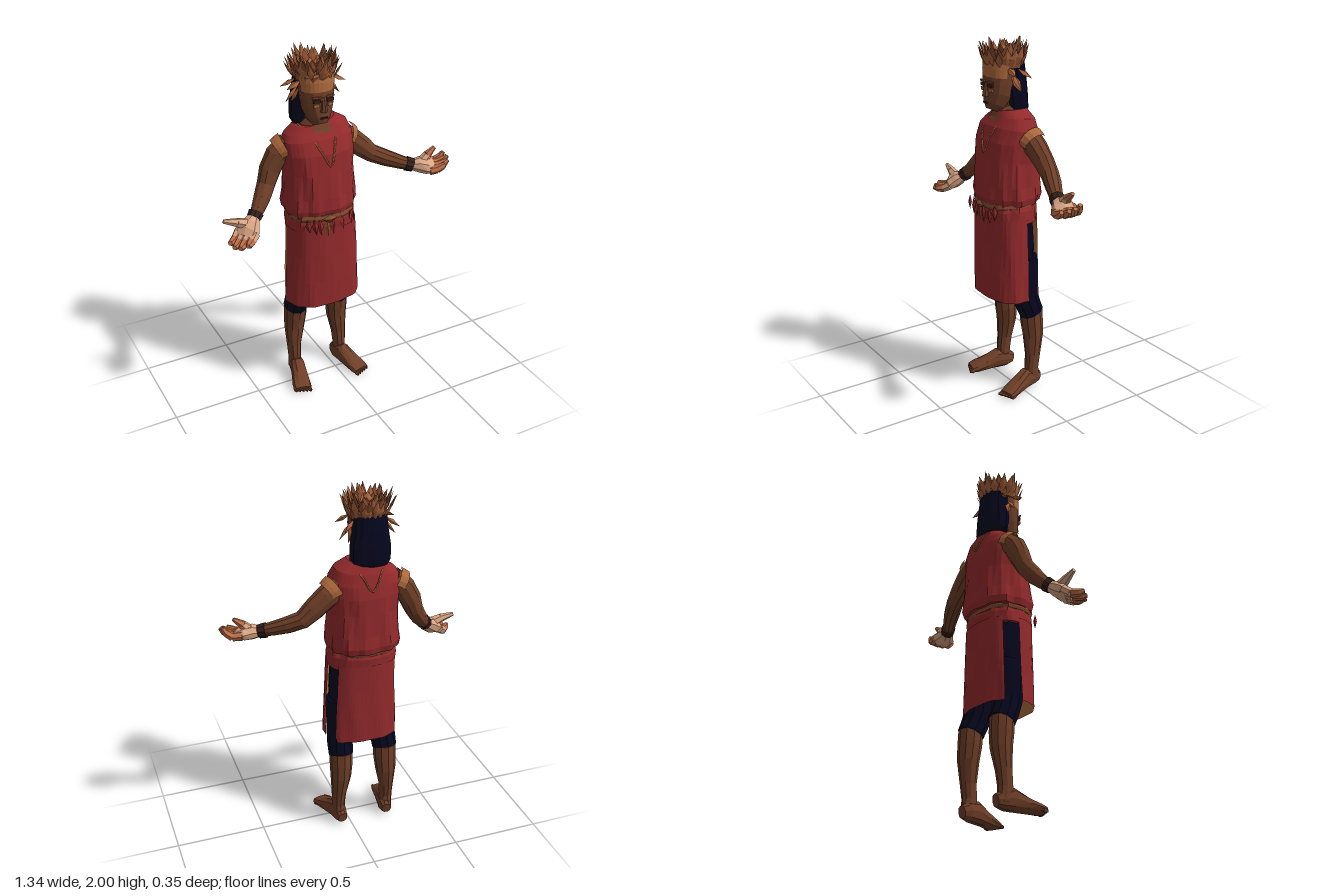
import * as THREE from 'three';

const mat = (name, color, side = THREE.FrontSide) => {
  const m = new THREE.MeshStandardMaterial({ color, side });
  m.name = name;
  return m;
};
const V = (x, y, z) => new THREE.Vector3(x, y, z);
const X = V(1, 0, 0), Z = V(0, 0, 1), TAU = Math.PI * 2;

let seed = 7;
const rand = () => ((seed = (seed * 16807) % 2147483647) / 2147483647);

// Faceted skin through sections [x, y, z, ra, rb]; ra lies along ref, rb across it.
function loft(rings, { sides = 10, ref = Z, pow = 2, from = 0, to = TAU, fold = 0, folds = 11 } = {}) {
  const closed = to - from > TAU - 0.01;
  const centres = rings.map((r) => V(r[0], r[1], r[2]));
  const pos = [], idx = [], n = sides + 1;
  const curve = (v) => Math.sign(v) * Math.abs(v) ** (2 / pow);
  rings.forEach(([, y, , ra, rb, amp = fold], i) => {
    const t = centres[Math.min(i + 1, rings.length - 1)].clone().sub(centres[Math.max(i - 1, 0)]).normalize();
    const a = ref.clone().addScaledVector(t, -ref.dot(t)).normalize();
    const b = t.clone().cross(a);
    for (let j = 0; j < n; j++) {
      const th = from + ((to - from) * j) / sides;
      const k = 1 + amp * (Math.cos(folds * th + y * 9) + 0.6 * Math.sin(5 * th + y * 17));
      const p = centres[i].clone().addScaledVector(a, ra * k * curve(Math.cos(th))).addScaledVector(b, rb * k * curve(Math.sin(th)));
      pos.push(p.x, p.y, p.z);
    }
  });
  for (let i = 0; i < rings.length - 1; i++)
    for (let j = 0; j < sides; j++) {
      const p = i * n + j, q = p + n;
      idx.push(p, p + 1, q + 1, p, q + 1, q);
    }
  if (closed)
    [0, rings.length - 1].forEach((i) => {
      const c = pos.length / 3;
      pos.push(...centres[i].toArray());
      for (let j = 0; j < sides; j++) {
        const p = i * n + j;
        idx.push(c, i ? p : p + 1, i ? p + 1 : p);
      }
    });
  const g = new THREE.BufferGeometry();
  g.setAttribute('position', new THREE.Float32BufferAttribute(pos, 3));
  g.setIndex(idx);
  const flat = g.toNonIndexed();
  flat.computeVertexNormals();
  return flat;
}

export function createModel() {
  const root = new THREE.Group();
  const skin = mat('brown skin', 0x6f3f28), tan = mat('tan', 0xae693c), pale = mat('pale skin', 0xdba685), palmTan = mat('warm finger', 0xbf6f48);
  const red = mat('red cloth', 0x942a2c), lining = mat('cloth lining', 0xa9683c, THREE.BackSide);
  const navy = mat('navy', 0x06061f), dark = mat('dark leather', 0x33201c);
  const feather = mat('copper feather', 0xab623c), shade = mat('brown feather', 0x844c2f);
  const add = (name, geo, m, parent = root) => {
    const mesh = new THREE.Mesh(geo, m);
    mesh.name = name;
    parent.add(mesh);
    return mesh;
  };
  const blade = (name, a, b, w, m, thick = 0.3) => {
    const d = b.clone().sub(a), mesh = add(name, new THREE.OctahedronGeometry(1), m);
    mesh.position.copy(a).addScaledVector(d, 0.5);
    const up = d.clone().normalize();
    const out = V(mesh.position.x + 0.115, 0, mesh.position.z + 0.01);
    out.addScaledVector(up, -out.dot(up)).normalize();
    mesh.quaternion.setFromRotationMatrix(new THREE.Matrix4().makeBasis(up.clone().cross(out), up, out));
    mesh.scale.set(w, d.length() / 2, w * thick);
  };

  // Tunic with folds deepening towards the bloused hem
  add('tunic', loft([
    [-0.1, 1.118, -0.01, 0.153, 0.19, 0.035], [-0.1, 1.155, -0.01, 0.163, 0.2, 0.032], [-0.1, 1.22, -0.01, 0.158, 0.195, 0.026],
    [-0.1, 1.35, -0.013, 0.15, 0.188, 0.022], [-0.1, 1.45, -0.018, 0.144, 0.195, 0.012], [-0.1, 1.52, -0.028, 0.124, 0.196, 0.006],
    [-0.103, 1.57, -0.035, 0.1, 0.172, 0.003], [-0.11, 1.61, -0.035, 0.08, 0.11, 0],
  ], { sides: 40, pow: 2.4 }), red);
  add('neckOpening', loft([[-0.106, 1.562, -0.034, 0.111, 0.17], [-0.106, 1.58, -0.035, 0.101, 0.165], [-0.112, 1.613, -0.035, 0.083, 0.112]],
    { sides: 6, pow: 2.4, from: -0.24, to: 0.24 }), skin);

  // Skirt: closed hips, then front and back panels leaving side slits
  const panel = [[-0.092, 0.565, 0, 0.145, 0.211, 0.016], [-0.093, 0.72, 0, 0.147, 0.206, 0.014], [-0.094, 0.88, 0, 0.147, 0.2, 0.01], [-0.095, 1.04, 0, 0.147, 0.194, 0.004]];
  add('skirtHips', loft([[-0.095, 1.015, 0, 0.139, 0.19, 0], [-0.095, 1.08, 0, 0.145, 0.187, 0.025], [-0.1, 1.135, 0, 0.13, 0.175, 0.035]], { sides: 40, pow: 2.5 }), red);
  [['frontPanel', -1.63, 1.63], ['backPanel', 2.22, TAU - 2.22]].forEach(([name, from, to]) => {
    const g = loft(panel, { sides: 22, pow: 2.5, from, to });
    add(name, g, red);
    add(name + 'Lining', g, lining);
  });

  // Belt with knot and hanging cords
  add('belt', loft([[-0.1, 1.095, 0.002, 0.145, 0.181], [-0.1, 1.11, 0.002, 0.15, 0.186], [-0.1, 1.128, 0.002, 0.147, 0.182]], { sides: 28, pow: 2.4, fold: 0.02 }), shade);
  blade('beltKnot', V(-0.16, 1.112, 0.155), V(-0.07, 1.107, 0.155), 0.024, shade, 0.7);
  [[-0.24, 0.08, red], [-0.2, 0.1, red], [-0.17, 0.11, red], [-0.13, 0.13, shade], [-0.1, 0.12, red], [-0.04, 0.11, red], [0.01, 0.08, red]].forEach(([x, len, m]) =>
    blade('beltCord', V(x, 1.125, 0.14), V(x + 0.012, 1.125 - len, 0.148), 0.017, m, 0.6));

  // Necklace lying on the cloth
  const beads = new THREE.CatmullRomCurve3([[-0.2, 1.595, -0.04], [-0.175, 1.55, 0.068], [-0.135, 1.47, 0.121], [-0.095, 1.4, 0.138], [-0.07, 1.47, 0.121],
    [-0.045, 1.55, 0.078], [-0.015, 1.6, -0.04], [-0.05, 1.56, -0.141], [-0.1, 1.48, -0.162], [-0.15, 1.56, -0.141]].map((p) => V(...p)), true);
  add('necklace', new THREE.TubeGeometry(beads, 48, 0.005, 5, true), tan);

  // Legs, feet and leggings, mirrored about the body line
  add('leggingHips', loft([[-0.09, 0.66, -0.015, 0.1, 0.175], [-0.092, 0.85, -0.01, 0.115, 0.184], [-0.095, 1.1, 0, 0.115, 0.17]], { sides: 16, pow: 2.4 }), navy);
  [1, -1].forEach((s) => {
    const leg = new THREE.Group();
    leg.name = s > 0 ? 'leftLeg' : 'rightLeg';
    leg.position.x = -0.085;
    leg.scale.x = s;
    root.add(leg);
    add('legging', loft([[0.132, 0.465, -0.078, 0.071, 0.069], [0.13, 0.52, -0.055, 0.073, 0.072], [0.12, 0.58, -0.035, 0.08, 0.078], [0.11, 0.8, -0.02, 0.1, 0.085]]), navy, leg);
    add('shin', loft([[0.146, 0.04, -0.075, 0.046, 0.036], [0.147, 0.12, -0.072, 0.041, 0.037], [0.146, 0.2, -0.08, 0.044, 0.042],
      [0.137, 0.32, -0.088, 0.058, 0.059], [0.133, 0.4, -0.082, 0.064, 0.065], [0.132, 0.48, -0.076, 0.066, 0.065]]), skin, leg);
    add('foot', loft([[0.137, 0.045, -0.124, 0.028, 0.033], [0.14, 0.053, -0.085, 0.04, 0.052], [0.15, 0.06, -0.03, 0.042, 0.06],
      [0.168, 0.04, 0.04, 0.048, 0.04], [0.186, 0.026, 0.1, 0.054, 0.026], [0.192, 0.02, 0.13, 0.05, 0.018]], { ref: X, pow: 2.4 }), skin, leg);
    for (let i = 0; i < 5; i++) {
      const toe = add('toe', new THREE.IcosahedronGeometry(1), skin, leg);
      toe.position.set(0.156 + i * 0.019, 0.015, 0.141 - i * 0.008);
      toe.scale.set(i ? 0.01 : 0.014, 0.013, 0.023);
    }
    // Tan edge over the shoulder
    const cap = add('shoulderEdge', loft([[0.17, 1.482, -0.045, 0.08, 0.073], [0.192, 1.471, -0.05, 0.074, 0.071], [0.211, 1.459, -0.053, 0.067, 0.067]],
      { from: -Math.PI - 0.2, to: 0.2, sides: 8 }), tan);
    cap.position.x = -0.1;
    cap.scale.x = s;
  });

  // Arms, wristbands and cupped hands
  const arm = (side, path, f, s, bend, thumbTip, backMat) => {
    const widths = [[0.07, 0.07], [0.06, 0.064], [0.052, 0.06], [0.048, 0.05], [0.046, 0.046], [0.037, 0.038], [0.029, 0.03]];
    add(side + 'Arm', loft(path.map((p, i) => [...p, ...widths[i]])), skin);
    const wrist = V(...path[6]);
    f.normalize();
    s.addScaledVector(f, -s.dot(f)).normalize();
    const along = (d, lift, r) => [...wrist.clone().addScaledVector(f, d).addScaledVector(bend, lift).toArray(), ...r];
    const prev = V(...path[5]).lerp(wrist, 0.4);
    add(side + 'Wristband', loft([[...prev.toArray(), 0.042, 0.042], [...wrist.toArray(), 0.038, 0.038]], { sides: 9 }), dark);
    add(side + 'Palm', loft([along(-0.01, 0, [0.03, 0.029]), along(0.03, 0, [0.048, 0.042]), along(0.075, -0.006, [0.066, 0.042]), along(0.115, -0.012, [0.06, 0.026])], { ref: s, sides: 8 }), pale);
    for (let i = 0; i < 4; i++) {
      const base = wrist.clone().addScaledVector(f, 0.085).addScaledVector(s, (i - 1.5) * 0.031);
      const len = [0.1, 0.115, 0.11, 0.085][i];
      const ring = (k, lift, r) => [...base.clone().addScaledVector(f, len * k).addScaledVector(bend, lift).toArray(), r, r];
      const knuckle = ring(0.5, -0.016 + i * 0.003, 0.024);
      add(side + 'Knuckle', loft([ring(0, -0.012, 0.026), knuckle], { ref: s, sides: 6 }), backMat);
      add(side + 'Finger', loft([knuckle, ring(0.85, 0.008, 0.02), ring(1, 0.034 - i * 0.005, 0.012)], { ref: s, sides: 6 }), palmTan);
    }
    const start = wrist.clone().addScaledVector(f, 0.04);
    const mid = start.clone().lerp(thumbTip, 0.5).addScaledVector(bend, 0.006);
    const joint = [...mid.toArray(), 0.024, 0.024];
    add(side + 'ThumbBase', loft([[...start.toArray(), 0.034, 0.034], joint], { ref: s, sides: 6 }), pale);
    add(side + 'Thumb', loft([joint, [...thumbTip.toArray(), 0.011, 0.011]], { ref: s, sides: 6 }), backMat);
  };
  arm('left', [[0.05, 1.485, -0.045], [0.12, 1.44, -0.055], [0.19, 1.38, -0.055], [0.25, 1.328, -0.05], [0.32, 1.297, -0.02], [0.4, 1.268, 0.02], [0.46, 1.25, 0.05]],
    V(0.95, 0, 0.28), V(-0.28, -0.2, 0.95), V(0, 1, 0), V(0.59, 1.335, 0.06), palmTan);
  arm('right', [[-0.25, 1.485, -0.045], [-0.315, 1.437, -0.055], [-0.355, 1.365, -0.055], [-0.385, 1.29, -0.045], [-0.425, 1.228, -0.015], [-0.46, 1.185, 0.01], [-0.495, 1.152, 0.033]],
    V(-0.56, -0.42, 0.42), V(0.5, -0.1, 0.7), V(-0.3, 0.7, 0.5), V(-0.665, 1.178, 0.04), pale);

  // Head, neck and hair
  add('neck', loft([[-0.11, 1.56, -0.03, 0.085, 0.09], [-0.113, 1.615, -0.028, 0.077, 0.085], [-0.118, 1.64, -0.015, 0.055, 0.06], [-0.12, 1.72, 0, 0.055, 0.058]]), skin);
  add('head', loft([[-0.12, 1.615, 0.065, 0.035, 0.035], [-0.12, 1.645, 0.052, 0.058, 0.058], [-0.12, 1.7, 0.03, 0.077, 0.08],
    [-0.12, 1.75, 0.02, 0.085, 0.087], [-0.12, 1.8, 0.015, 0.088, 0.09], [-0.12, 1.87, 0.01, 0.092, 0.092]], { sides: 12, pow: 2.3 }), skin);
  add('hair', loft([[-0.12, 1.59, -0.07, 0.05, 0.09], [-0.12, 1.62, -0.065, 0.064, 0.11], [-0.12, 1.7, -0.058, 0.071, 0.108],
    [-0.12, 1.78, -0.054, 0.072, 0.093], [-0.12, 1.855, -0.04, 0.075, 0.09]], { sides: 22, pow: 2.3, fold: 0.025 }), navy);

  // Face
  add('nose', loft([[-0.12, 1.695, 0.108, 0.018, 0.021], [-0.12, 1.715, 0.108, 0.017, 0.016], [-0.12, 1.77, 0.1, 0.008, 0.01]], { sides: 6 }), skin);
  const plate = (name, x, y, z, w, h, m, turn = 0) => {
    const p = add(name, new THREE.BoxGeometry(w, h, 0.008), m);
    p.position.set(x, y, z);
    p.rotation.y = turn;
  };
  [1, -1].forEach((s) => {
    plate('eye', -0.12 + s * 0.037, 1.754, 0.101, 0.04, 0.016, dark, s * 0.15);
    plate('brow', -0.12 + s * 0.038, 1.773, 0.101, 0.046, 0.009, shade, s * 0.15);
    plate('cheek', -0.12 + s * 0.038, 1.73, 0.101, 0.03, 0.016, tan, s * 0.15);
  });
  plate('mouth', -0.12, 1.662, 0.108, 0.04, 0.008, dark);

  // Feather headdress: band, rows of feathers closing on a dark centre, side plumes
  add('headband', loft([[-0.12, 1.79, 0.012, 0.093, 0.093], [-0.12, 1.83, 0.008, 0.097, 0.096], [-0.118, 1.86, 0, 0.1, 0.099]], { sides: 12, pow: 2.2, from: -1.4, to: 1.4 }), tan);
  add('crownBase', loft([[-0.118, 1.845, -0.008, 0.1, 0.1], [-0.118, 1.885, -0.01, 0.106, 0.106]], { sides: 14 }), shade);
  add('crownCentre', loft([[-0.118, 1.88, -0.01, 0.09, 0.09], [-0.118, 1.892, -0.01, 0.05, 0.05]], { sides: 10 }), dark);
  [[20, 0.098, 0.142, 1.84, 1.95, feather], [18, 0.088, 0.125, 1.855, 1.975, shade], [15, 0.065, 0.1, 1.865, 1.972, feather],
    [12, 0.04, 0.082, 1.88, 1.955, shade], [9, 0.02, 0.062, 1.885, 1.935, feather]].forEach(([count, r0, r1, y0, y1, m]) => {
    for (let i = 0; i < count; i++) {
      const a = ((i + rand() * 0.6) / count) * TAU, b = a + (rand() - 0.5) * 0.3, r = r1 + (rand() - 0.5) * 0.036;
      blade('crownFeather', V(-0.118 + r0 * Math.sin(a), y0, -0.01 + r0 * Math.cos(a)),
        V(-0.118 + r * Math.sin(b), y1 + (rand() - 0.5) * 0.05, -0.01 + r * Math.cos(b)), 0.017 + rand() * 0.01, m);
    }
  });
  [1, -1].forEach((s) => [[1.85, 0.02, 0.165, 1.812, 0.025], [1.82, -0.01, 0.155, 1.73, -0.02], [1.84, -0.04, 0.15, 1.79, -0.09], [1.81, 0, 0.115, 1.715, -0.045]]
    .forEach(([y0, z0, x, y, z]) => blade('sidePlume', V(-0.12 + s * 0.08, y0, z0), V(-0.12 + s * x, y, z), 0.02, feather, 0.6)));

  return root;
}
